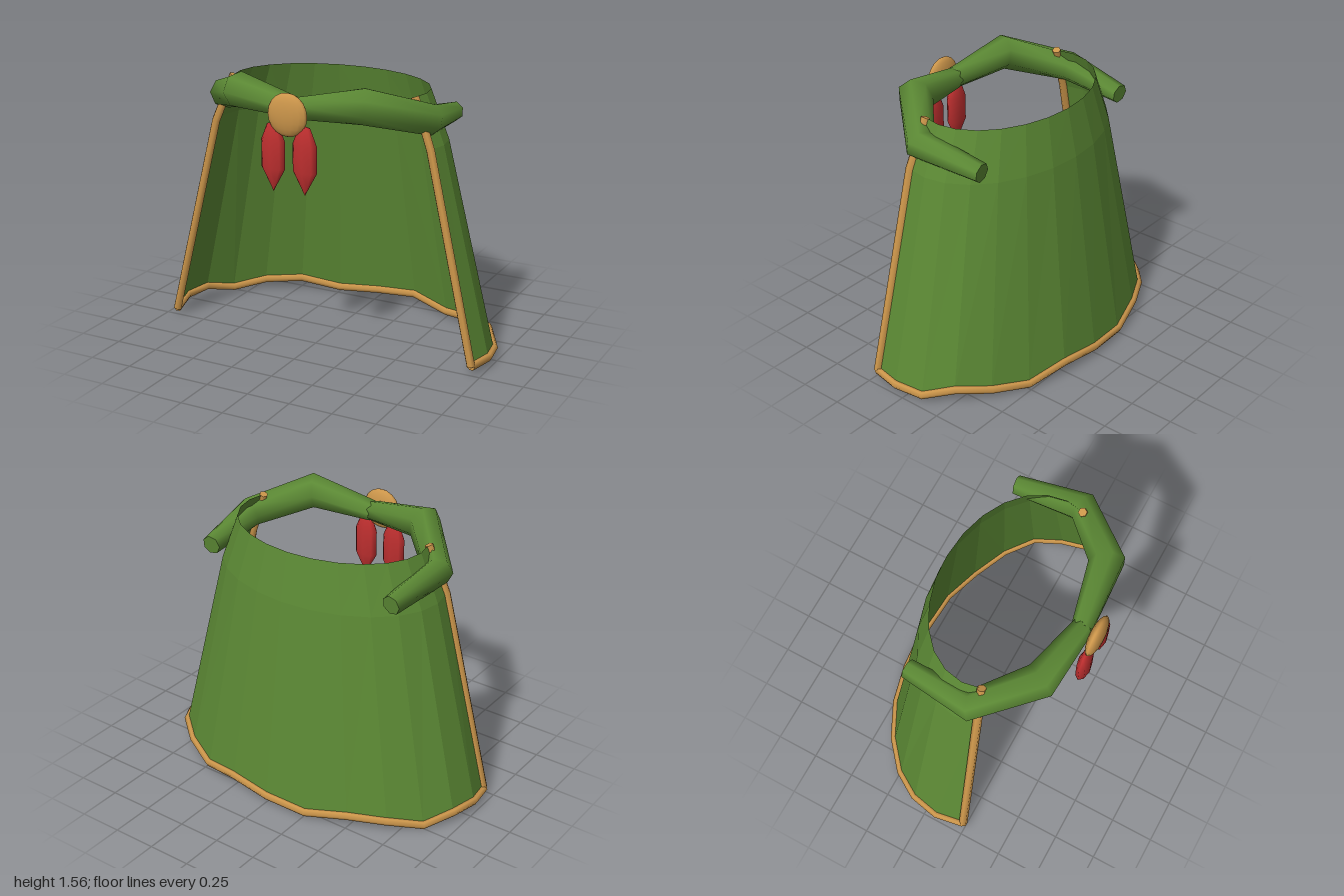
import * as THREE from 'three';

const green = new THREE.MeshStandardMaterial({ color: 0x5b8834, flatShading: true, side: THREE.DoubleSide });
green.name = 'green cloth';
const greenSmooth = new THREE.MeshStandardMaterial({ color: 0x5b8834 });
greenSmooth.name = 'green rolled cloth';
const gold = new THREE.MeshStandardMaterial({ color: 0xcb954a });
gold.name = 'gold trim';
const red = new THREE.MeshStandardMaterial({ color: 0xbe2f2f });
red.name = 'red tassel';

const V = (x, y, z) => new THREE.Vector3(x, y, z);

// Capped tube through points, with its own radius at each point
function roll(points, radii, sides) {
  const pos = [], idx = [];
  const n = points.length;
  points.forEach((p, i) => {
    const a = points[Math.max(i - 1, 0)], b = points[Math.min(i + 1, n - 1)];
    const t = b.clone().sub(a).normalize();
    const ref = Math.abs(t.y) > 0.9 ? V(0, 0, 1) : V(0, 1, 0);
    const u = new THREE.Vector3().crossVectors(ref, t).normalize();
    const w = new THREE.Vector3().crossVectors(t, u);
    for (let j = 0; j < sides; j++) {
      const k = (j / sides) * Math.PI * 2;
      const q = p.clone().addScaledVector(u, Math.cos(k) * radii[i]).addScaledVector(w, Math.sin(k) * radii[i]);
      pos.push(q.x, q.y, q.z);
    }
  });
  for (let i = 0; i < n - 1; i++) {
    for (let j = 0; j < sides; j++) {
      const a = i * sides + j, b = i * sides + (j + 1) % sides;
      idx.push(a, b, b + sides, a, b + sides, a + sides);
    }
  }
  // End caps with their own vertices keep the rim sharp
  [0, n - 1].forEach((row, end) => {
    const start = pos.length / 3;
    for (let j = 0; j < sides; j++) pos.push(...pos.slice((row * sides + j) * 3, (row * sides + j) * 3 + 3));
    for (let j = 1; j < sides - 1; j++) {
      if (end) idx.push(start, start + j, start + j + 1);
      else idx.push(start, start + j + 1, start + j);
    }
  });
  const g = new THREE.BufferGeometry();
  g.setAttribute('position', new THREE.Float32BufferAttribute(pos, 3));
  g.setIndex(idx);
  g.computeVertexNormals();
  return g;
}

// Cape rings: height, half width, half depth, centre z
const rings = [
  { y: 0.05, rx: 0.975, rz: 0.63, zc: 0.07 },
  { y: 1.22, rx: 0.685, rz: 0.473, zc: 0.073 },
  { y: 1.49, rx: 0.575, rz: 0.405, zc: 0.065 },
];
// Uneven hem heights from the -x edge, round the back, to the +x edge
const hem = [0.04, 0.065, 0.07, 0.03, 0.065, 0.075, 0.035, 0.055, 0.08, 0.035, 0.065, 0.09, 0.04, 0.055, 0.055];
const STEPS = hem.length - 1;

function capePoint(ring, i) {
  const r = rings[ring];
  const a = THREE.MathUtils.degToRad(-105 + i * 15);
  return V(r.rx * Math.sin(a), ring === 0 ? hem[i] : r.y, r.zc - r.rz * Math.cos(a));
}

function capeGeometry() {
  const pos = [], idx = [], row = STEPS + 1;
  rings.forEach((_, r) => {
    for (let i = 0; i <= STEPS; i++) pos.push(...capePoint(r, i).toArray());
  });
  for (let r = 0; r < rings.length - 1; r++) {
    for (let i = 0; i < STEPS; i++) {
      const a = r * row + i, b = a + 1;
      idx.push(b, a, a + row, b, a + row, b + row);
    }
  }
  const g = new THREE.BufferGeometry();
  g.setAttribute('position', new THREE.Float32BufferAttribute(pos, 3));
  g.setIndex(idx);
  g.computeVertexNormals();
  return g;
}

export function createModel() {
  const model = new THREE.Group();
  model.name = 'cape';
  const add = (name, geometry, material, parent = model) => {
    const m = new THREE.Mesh(geometry, material);
    m.name = name;
    parent.add(m);
    return m;
  };

  add('capeCloth', capeGeometry(), green);

  // Trim along the hem and up both front edges
  const hemPoints = hem.map((_, i) => capePoint(0, i));
  add('hemTrim', roll(hemPoints, hem.map(() => 0.024), 6), gold);
  [['right', 0], ['left', STEPS]].forEach(([side, i]) => {
    const edge = rings.map((_, r) => capePoint(r, i));
    add(side + 'EdgeTrim', roll(edge, [0.025, 0.025, 0.025], 6), gold);
  });

  // Rolled collar halves meeting at the brooch, and the tassels
  [['left', 1], ['right', -1]].forEach(([side, s]) => {
    const path = [V(0, 1.43, 0.46), V(s * 0.375, 1.475, 0.41), V(s * 0.635, 1.37, 0.14), V(s * 0.6, 1.322, -0.25)];
    add(side + 'Collar', roll(path, [0.06, 0.1, 0.085, 0.055], 7), greenSmooth);

    const profile = [[0, 0.98], [0.03, 1.035], [0.072, 1.11], [0.072, 1.26], [0.035, 1.35], [0, 1.36]]
      .map(([x, y]) => new THREE.Vector2(x, y));
    const tassel = add(side + 'Tassel', new THREE.LatheGeometry(profile, 8), red);
    tassel.position.set(s * 0.095, 0, 0.535);
    tassel.scale.z = 0.5;
  });

  // Flattened round brooch
  const brooch = add('brooch', new THREE.SphereGeometry(0.118, 16, 10), gold);
  brooch.position.set(0, 1.412, 0.547);
  brooch.scale.z = 0.33;

  return model;
}
